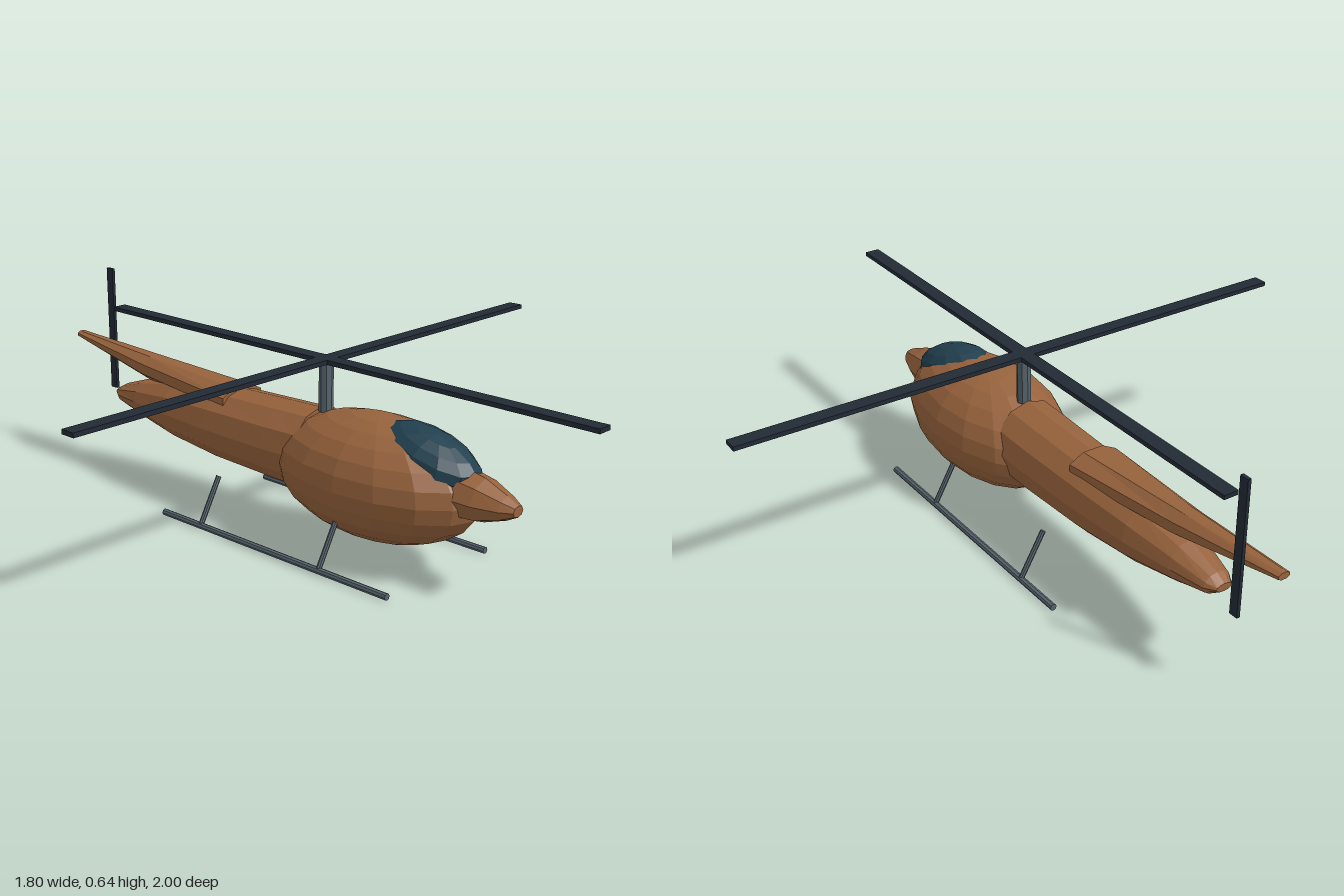
import * as THREE from 'three';

const paint = (color) => new THREE.MeshStandardMaterial({ color, flatShading: true });

// Closed faceted hull through elliptical sections [z, halfWidth, yBottom, yTop], listed front to back
function loft(sections, sides, turn = 0) {
  const pos = [], idx = [];
  for (const [z, w, y0, y1] of sections) {
    for (let j = 0; j < sides; j++) {
      const a = turn + (j / sides) * Math.PI * 2;
      pos.push(w * Math.cos(a), (y0 + y1) / 2 + ((y1 - y0) / 2) * Math.sin(a), z);
    }
  }
  const last = sections.length - 1;
  for (let i = 0; i < last; i++) {
    for (let j = 0; j < sides; j++) {
      const k = (j + 1) % sides;
      const a = i * sides + j, b = i * sides + k, c = a + sides, d = b + sides;
      idx.push(a, c, b, b, c, d);
    }
  }
  for (let j = 1; j < sides - 1; j++) {
    idx.push(0, j, j + 1);
    idx.push(last * sides, last * sides + j + 1, last * sides + j);
  }
  const g = new THREE.BufferGeometry();
  g.setAttribute('position', new THREE.Float32BufferAttribute(pos, 3));
  g.setIndex(idx);
  g.computeVertexNormals();
  return g;
}

// Cylinder running between two points
function rod(from, to, radius, sides = 8) {
  const a = new THREE.Vector3(...from), b = new THREE.Vector3(...to);
  const dir = b.clone().sub(a);
  const g = new THREE.CylinderGeometry(radius, radius, dir.length(), sides);
  g.applyQuaternion(new THREE.Quaternion().setFromUnitVectors(new THREE.Vector3(0, 1, 0), dir.normalize()));
  const mid = a.add(b).multiplyScalar(0.5);
  return g.translate(mid.x, mid.y, mid.z);
}

export function createModel() {
  const model = new THREE.Group();
  model.name = 'helicopter';
  const brown = paint(0x96623c), glass = paint(0x213f4e);
  const metal = paint(0x56636c), dark = paint(0x222a35);

  const add = (name, geometry, material, parent = model) => {
    const mesh = new THREE.Mesh(geometry, material);
    mesh.name = name;
    parent.add(mesh);
    return mesh;
  };

  // Cabin
  add('cabin', new THREE.SphereGeometry(1, 16, 12).scale(0.19, 0.176, 0.345).translate(0, 0.237, 0.295), brown);

  // Windscreen, tilted forward on the cabin
  add('windscreen', new THREE.SphereGeometry(1, 12, 8).scale(0.097, 0.07, 0.165)
    .rotateX(0.3).translate(0, 0.335, 0.48), glass);

  // Nose
  add('nose', loft([
    [0.765, 0.022, 0.24, 0.272],
    [0.73, 0.042, 0.222, 0.29],
    [0.66, 0.066, 0.198, 0.32],
    [0.56, 0.078, 0.19, 0.34],
  ], 8), brown);

  // Tail boom
  add('tailBoom', loft([
    [0.08, 0.118, 0.14, 0.388],
    [-0.05, 0.118, 0.14, 0.384],
    [-0.3, 0.111, 0.148, 0.376],
    [-0.5, 0.096, 0.168, 0.358],
    [-0.66, 0.07, 0.198, 0.322],
    [-0.77, 0.045, 0.224, 0.285],
    [-0.8, 0.026, 0.245, 0.268],
  ], 12), brown);

  // Upswept upper tail
  add('upperTail', loft([
    [-0.24, 0.085, 0.3, 0.388],
    [-0.64, 0.05, 0.325, 0.406],
    [-1, 0.02, 0.4, 0.421],
  ], 8, Math.PI / 8), brown);

  // Main rotor: mast and two crossed blades
  const rotor = new THREE.Group();
  rotor.name = 'mainRotor';
  rotor.position.set(0, 0.53, 0.1);
  model.add(rotor);
  add('mast', rod([0, -0.15, 0], [0, 0, 0], 0.021), metal, rotor);
  for (const turn of [0, Math.PI / 2]) {
    add('rotorBlade', new THREE.BoxGeometry(1.8, 0.013, 0.045), dark, rotor).rotation.y = turn;
  }

  // Tail rotor
  add('tailRotor', new THREE.BoxGeometry(0.01, 0.4, 0.028).translate(0.039, 0.44, -0.885), dark);

  // Landing skids with two struts each
  for (const side of [-1, 1]) {
    const gear = new THREE.Group();
    gear.name = side > 0 ? 'leftLandingGear' : 'rightLandingGear';
    model.add(gear);
    add('skid', rod([side * 0.213, 0.01, -0.36], [side * 0.213, 0.01, 0.515], 0.01), metal, gear);
    for (const z of [0.27, -0.2]) {
      add('strut', rod([side * 0.213, 0.012, z], [side * 0.138, 0.145, z], 0.008), metal, gear);
    }
  }
  return model;
}
